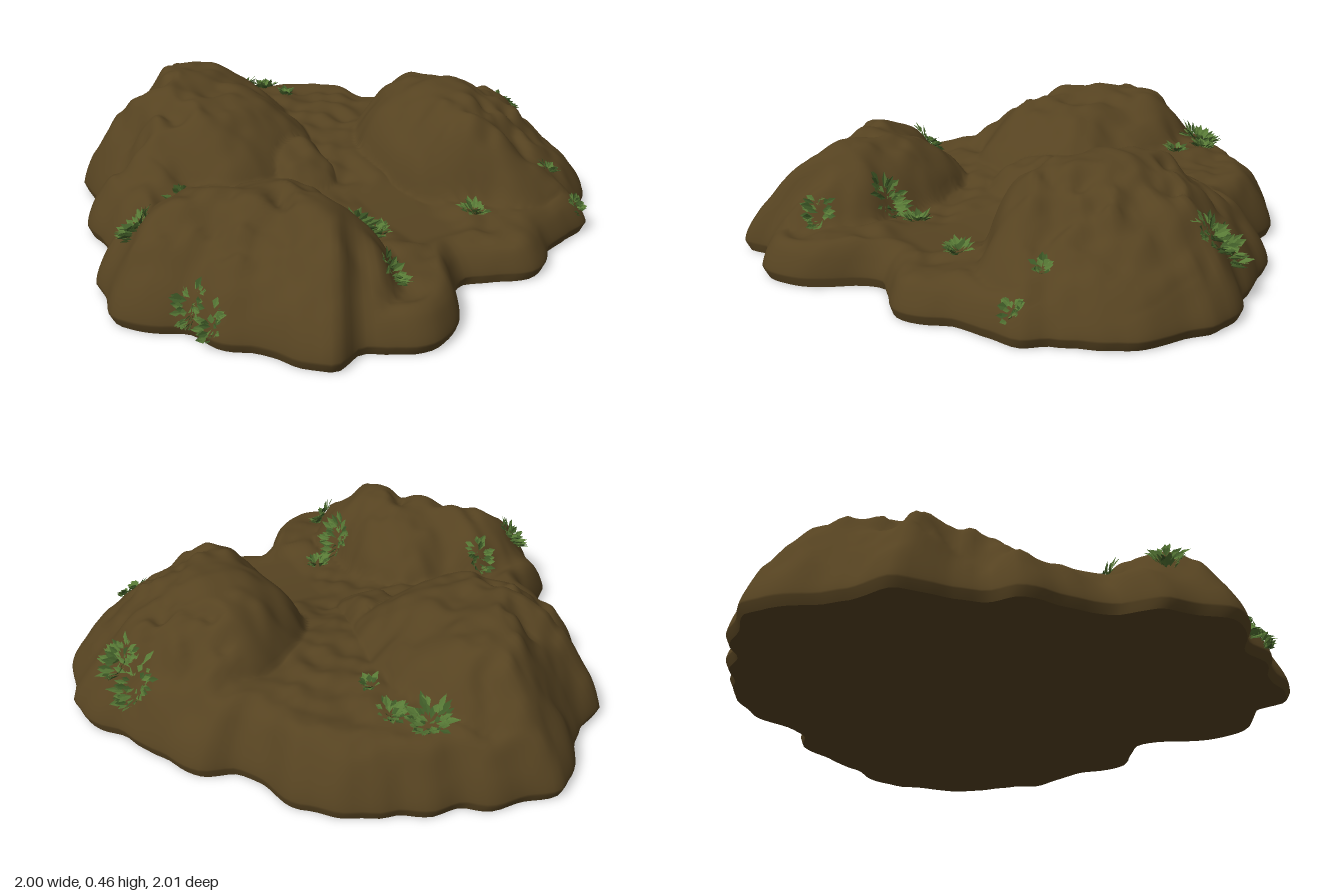
import * as THREE from 'three';
import { mergeGeometries } from 'three/addons/utils/BufferGeometryUtils.js';

// Ground outline seen from above, as x, z pairs
const OUTLINE = [
  -0.32, -1, -0.2, -0.98, -0.08, -0.98, 0, -0.93, 0.1, -0.93, 0.2, -0.88, 0.3, -0.85, 0.4, -0.79, 0.5, -0.69,
  0.54, -0.56, 0.6, -0.48, 0.72, -0.44, 0.78, -0.34, 0.85, -0.22, 0.9, -0.12, 0.97, -0.03, 1, 0.1, 0.97, 0.2,
  0.95, 0.34, 0.88, 0.46, 0.78, 0.55, 0.7, 0.65, 0.6, 0.68, 0.48, 0.71, 0.4, 0.78, 0.28, 0.82, 0.18, 0.78,
  0.08, 0.74, 0, 0.79, -0.06, 0.88, -0.12, 0.95, -0.24, 1, -0.36, 0.96, -0.45, 0.91, -0.55, 0.94, -0.64, 0.86,
  -0.7, 0.74, -0.8, 0.66, -0.84, 0.52, -0.92, 0.46, -1, 0.36, -0.96, 0.2, -0.95, 0.1, -0.85, 0, -0.83, -0.15,
  -0.82, -0.32, -0.74, -0.38, -0.71, -0.55, -0.7, -0.66, -0.6, -0.73, -0.5, -0.81, -0.42, -0.93,
];
const SIDES = 220, ROWS = 90;

// Rock mounds: centre, radii, height and tilt of the top
const MOUNDS = [
  { x: -0.28, z: -0.44, rx: 0.44, rz: 0.54, h: 0.435, tx: -0.18, tz: -0.18 }, // back
  { x: 0.56, z: 0.12, rx: 0.42, rz: 0.5, h: 0.435, tx: -0.13, tz: 0 }, // left
  { x: -0.58, z: 0.5, rx: 0.44, rz: 0.48, h: 0.39, tx: 0, tz: 0.03 }, // right
  { x: -0.09, z: -0.02, rx: 0.16, rz: 0.22, h: 0.26, tx: 0, tz: -0.3 }, // spur into the valley
  { x: -0.52, z: -0.42, rx: 0.27, rz: 0.42, h: 0.35, tx: 0, tz: -0.1 }, // shoulder
];

// Plant tufts: x, z, spread
const TUFTS = [
  [0.04, -0.76, 0.075], [0.14, -0.68, 0.045], [0.14, -0.53, 0.03], [0.82, -0.1, 0.075], [0.84, -0.02, 0.065],
  [-0.64, 0.11, 0.05], [-0.84, 0.21, 0.055], [-0.81, 0.52, 0.05], [-0.79, 0.62, 0.04], [-0.21, 0.54, 0.065],
  [-0.1, 0.49, 0.045], [-0.26, 0.79, 0.045], [0.26, 0.55, 0.045], [0.66, 0.63, 0.03], [0.64, 0.5, 0.025],
];

const { smoothstep } = THREE.MathUtils;

// Smooth value noise in the range -1 to 1
const hash = (i, j) => {
  const s = Math.sin(i * 127.1 + j * 311.7) * 43758.5453;
  return (s - Math.floor(s)) * 2 - 1;
};
function noise(x, z) {
  const i = Math.floor(x), j = Math.floor(z);
  const u = smoothstep(x - i, 0, 1), v = smoothstep(z - j, 0, 1);
  const a = hash(i, j) * (1 - u) + hash(i + 1, j) * u;
  const b = hash(i, j + 1) * (1 - u) + hash(i + 1, j + 1) * u;
  return a * (1 - v) + b * v;
}

function makeRandom(seed) {
  return () => (seed = (seed * 16807) % 2147483647) / 2147483647;
}

// Terrain height at a point lying a distance d inside the outline
function height(x, z, d) {
  const wx = x + 0.04 * noise(x * 6 + 3, z * 6), wz = z + 0.04 * noise(x * 6, z * 6 + 9);
  const path = smoothstep(0.16 - Math.abs(x - 0.07), 0, 0.08) * smoothstep(0.26 - Math.abs(z - 0.42), 0, 0.1);
  let y = 0.14 + 0.11 * smoothstep(-z, -0.5, 0.4) - 0.015 * path;
  for (const m of MOUNDS) {
    const dx = wx - m.x, dz = wz - m.z;
    const r = Math.pow(Math.abs(dx / m.rx) ** 2.4 + Math.abs(dz / m.rz) ** 2.4, 1 / 2.4);
    const dome = Math.pow(Math.max(0, 1 - r ** 3), 0.66);
    y = Math.max(y, (m.h + m.tx * dx + m.tz * dz) * dome);
  }
  y += (0.018 * noise(x * 8 + 5, z * 8 + 2) + 0.012 * noise(x * 17, z * 17)) * (1 - path);
  // blend the terrain into the lumpy rim, steeper at the back and the front right corner
  const steep = 0.8 + 0.24 * Math.max(0, -z) - 0.12 * Math.max(0, z) + 0.6 * Math.max(0, (z - x) / 1.4 - 0.7);
  const lumps = 1 + 0.12 * noise(x * 9 + 1, z * 9 + 7) + 0.08 * noise(x * 19, z * 19 + 4);
  const rim = 0.03 + steep * lumps * Math.pow(Math.max(0, d), 0.7);
  const k = Math.max(0, 1 - Math.abs(y - rim) / 0.06);
  return Math.min(y, rim) - 0.015 * k * k * Math.min(1, d / 0.05);
}

// Smooth closed outline with small lumps
function makeEdge() {
  const pts = [];
  for (let i = 0; i < OUTLINE.length; i += 2) pts.push(new THREE.Vector3(OUTLINE[i], 0, OUTLINE[i + 1]));
  const edge = new THREE.CatmullRomCurve3(pts, true).getSpacedPoints(SIDES).slice(0, SIDES);
  return edge.map((p) => p.multiplyScalar(1 + 0.01 * (noise(p.x * 16, p.z * 16) - 0.2)));
}

// Rings shrinking from the foot of the rim towards the middle of the ground
function terrainGeometry(edge) {
  const pos = [], index = [];
  for (const p of edge) pos.push(p.x * 0.985, 0, p.z * 0.985);
  for (let row = 0; row < ROWS; row++) {
    const t = 1 - Math.pow(row / ROWS, 1.5);
    for (const p of edge) {
      const x = p.x * t, z = p.z * t;
      pos.push(x, height(x, z, (1 - t) * p.length()), z);
    }
  }
  const centre = pos.length / 3;
  pos.push(0, height(0, 0, 0.8), 0);
  for (let row = 0; row <= ROWS; row++) {
    for (let i = 0; i < SIDES; i++) {
      const j = (i + 1) % SIDES, a = row * SIDES + i, b = row * SIDES + j;
      if (row === ROWS) index.push(centre, b, a);
      else index.push(a, a + SIDES, b, b, a + SIDES, b + SIDES);
    }
  }
  const g = new THREE.BufferGeometry();
  g.setAttribute('position', new THREE.Float32BufferAttribute(pos, 3));
  g.setIndex(index);
  g.computeVertexNormals();
  return g;
}

// Flat underside following the same outline
function undersideGeometry(edge) {
  const shape = new THREE.Shape(edge.map((p) => new THREE.Vector2(p.x * 0.985, p.z * 0.985)));
  return new THREE.ShapeGeometry(shape).rotateX(Math.PI / 2);
}

// One folded pointed leaf growing along +y, its face towards +z
function leafGeometry(length, width) {
  const g = new THREE.BufferGeometry();
  g.setAttribute('position', new THREE.Float32BufferAttribute([
    0, 0, 0, width, length * 0.55, width * 0.3, 0, length, 0,
    0, 0, 0, 0, length, 0, -width, length * 0.55, width * 0.3], 3));
  g.computeVertexNormals();
  return g;
}

export function createModel() {
  const group = new THREE.Group();
  const material = (name, color, side = THREE.FrontSide) => {
    const m = new THREE.MeshStandardMaterial({ color, side });
    m.name = name;
    return m;
  };
  const earth = material('earth brown', 0x564321);
  const greens = [material('leaf green', 0x587a36, THREE.DoubleSide), material('dark leaf green', 0x405c28, THREE.DoubleSide)];
  const add = (name, geometry, mat) => {
    const mesh = new THREE.Mesh(geometry, mat);
    mesh.name = name;
    group.add(mesh);
  };

  const edge = makeEdge();
  add('rockyGround', terrainGeometry(edge), earth);
  add('underside', undersideGeometry(edge), earth);

  // Surface height at any point, using the outline point in the same direction
  const surface = (x, z) => {
    const a = Math.atan2(z, x);
    const gap = (p) => Math.abs(Math.sin((Math.atan2(p.z, p.x) - a) / 2));
    const p = edge.reduce((best, q) => (gap(q) < gap(best) ? q : best));
    return height(x, z, p.length() - Math.hypot(x, z));
  };

  // Tufts of leaves fanning out from the slope, faces turned outwards
  const rand = makeRandom(77);
  const leaves = [[], []];
  for (const [cx, cz, spread] of TUFTS) {
    const e = 0.03, y0 = surface(cx, cz);
    const normal = new THREE.Vector3(surface(cx - e, cz) - surface(cx + e, cz), 2 * e,
      surface(cx, cz - e) - surface(cx, cz + e)).normalize();
    const count = Math.round(spread * 900);
    for (let i = 0; i < count; i++) {
      const a = rand() * Math.PI * 2, r = spread * 0.6 * Math.sqrt(rand());
      const direction = new THREE.Vector3(Math.cos(a), 0, Math.sin(a)).addScaledVector(normal, 0.3 + 0.9 * rand()).normalize();
      const side = new THREE.Vector3().crossVectors(direction, normal).normalize();
      const face = new THREE.Vector3().crossVectors(side, direction);
      const leaf = leafGeometry(0.025 + 0.6 * spread * rand(), 0.008 + 0.005 * rand());
      leaf.applyMatrix4(new THREE.Matrix4().makeBasis(side, direction, face));
      const x = cx + Math.cos(a) * r, z = cz + Math.sin(a) * r;
      leaf.translate(x, Math.max(y0 - 0.05, surface(x, z)) + 0.005, z);
      leaves[i % 3 === 2 ? 1 : 0].push(leaf);
    }
  }
  add('leaves', mergeGeometries(leaves[0]), greens[0]);
  add('shadedLeaves', mergeGeometries(leaves[1]), greens[1]);
  return group;
}
